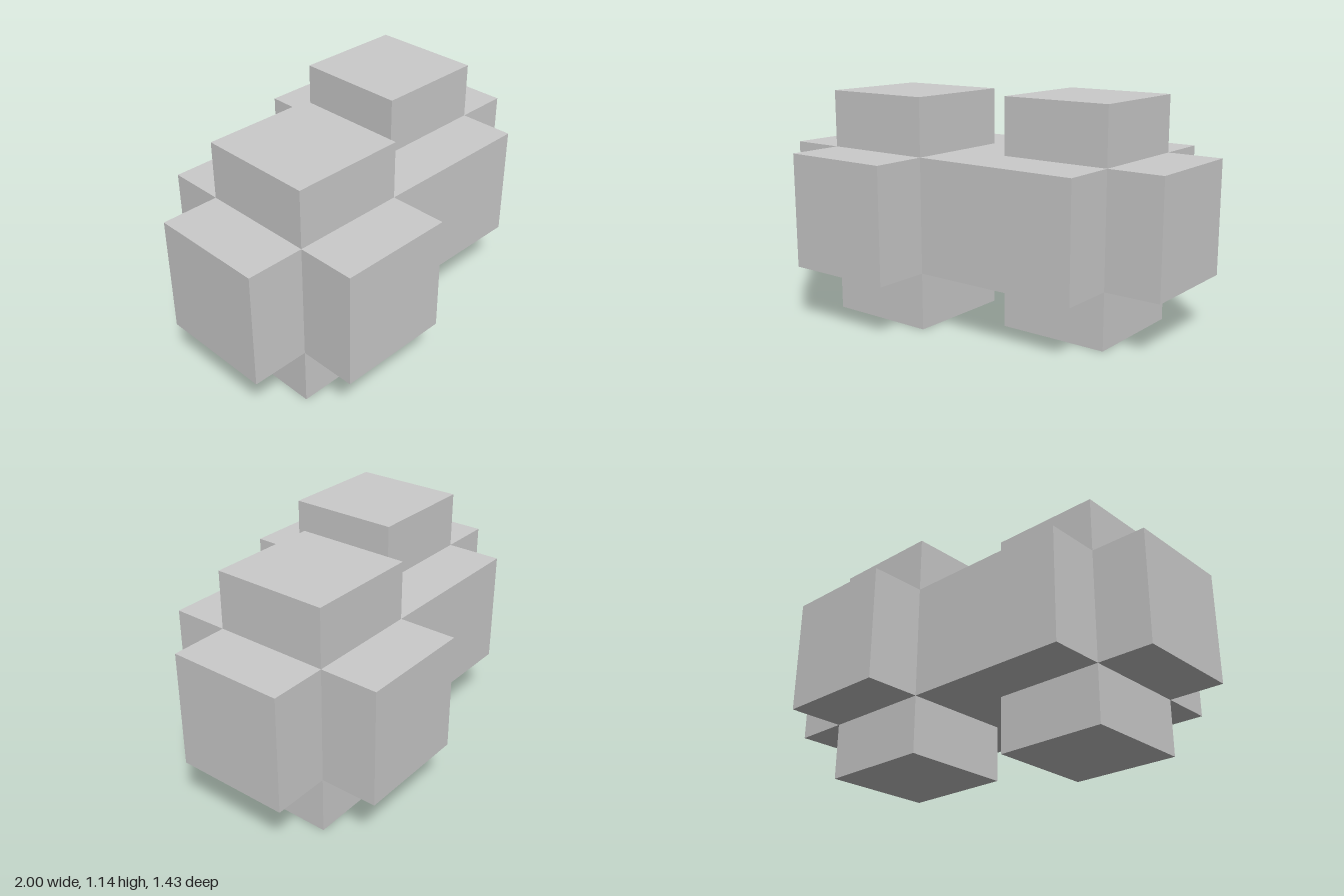
import * as THREE from 'three';

// One grid unit: the model is 14 units long
const U = 1 / 7;

export function createModel() {
  const model = new THREE.Group();
  const material = new THREE.MeshStandardMaterial({ color: 0xcccccc, flatShading: true });

  // Box spanning [min, max] on each axis, in grid units
  function addBlock(parent, name, x, y, z) {
    const spans = [x, y, z];
    const mesh = new THREE.Mesh(
      new THREE.BoxGeometry(...spans.map(([a, b]) => (b - a) * U)), material);
    mesh.position.set(...spans.map(([a, b]) => (a + b) / 2 * U));
    mesh.name = name;
    parent.add(mesh);
  }

  // Central slab
  addBlock(model, 'body', [-5, 5], [2, 6], [-3, 3]);

  // Four stubs around each end; the second set is the first turned half a circle
  ['leftCluster', 'rightCluster'].forEach((name, i) => {
    const cluster = new THREE.Group();
    cluster.name = name;
    addBlock(cluster, 'topBlock', [1, 5], [6, 8], [-3, 1]);
    addBlock(cluster, 'footBlock', [1, 5], [0, 2], [-3, 1]);
    addBlock(cluster, 'sideBlock', [5, 7], [2, 6], [-3, 1]);
    addBlock(cluster, 'endBlock', [1, 5], [2, 6], [-5, -3]);
    cluster.rotation.y = i * Math.PI;
    model.add(cluster);
  });

  return model;
}
